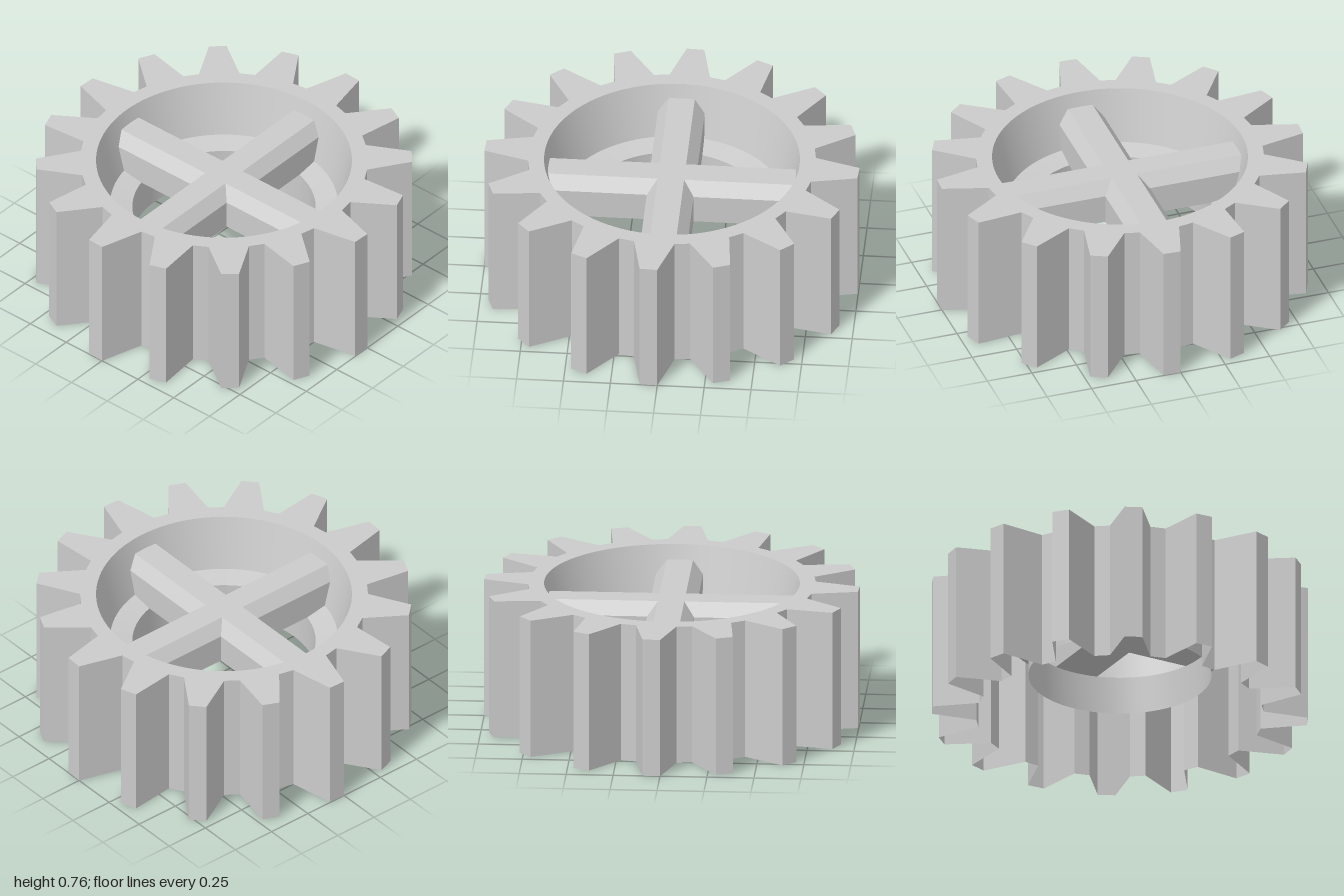
import * as THREE from 'three';
import { toCreasedNormals } from 'three/addons/utils/BufferGeometryUtils.js';

const HEIGHT = 0.76, TEETH = 16, RIM = 0.68;
const STEP = (Math.PI * 2) / TEETH;
const rad = THREE.MathUtils.degToRad;

// Four corners per tooth: root, tip, tip, root
const CORNERS = [[-8.1, 0.765], [-2.7, 1], [2.7, 1], [8.1, 0.765]];

// Corner i of the gear outline as [x, z], counterclockwise seen from above
function outline(i) {
  const n = i % (TEETH * 4);
  const [deg, r] = CORNERS[n % 4];
  const a = Math.floor(n / 4) * STEP + rad(deg - 2.7);
  return [r * Math.sin(a), r * Math.cos(a)];
}

export function createModel() {
  const group = new THREE.Group();
  const material = new THREE.MeshStandardMaterial({ color: 0xcccccc, side: THREE.DoubleSide });
  const add = (name, geometry) => {
    const mesh = new THREE.Mesh(geometry, material);
    mesh.name = name;
    group.add(mesh);
    return mesh;
  };

  // Toothed outer wall: an open cylinder whose columns follow the outline
  const cylinder = new THREE.CylinderGeometry(1, 1, HEIGHT, TEETH * 4, 1, true);
  const wallPos = cylinder.attributes.position;
  const columns = TEETH * 4 + 1;
  for (let i = 0; i < wallPos.count; i++) {
    const [x, z] = outline(i % columns);
    wallPos.setXYZ(i, x, wallPos.getY(i) + HEIGHT / 2, z);
  }
  const wall = cylinder.toNonIndexed();
  wall.computeVertexNormals();
  add('toothedWall', wall);

  // Flat top face with its round opening; the underside stays open
  const face = new THREE.Shape();
  for (let i = 0; i < TEETH * 4; i++) {
    const [x, z] = outline(i);
    if (i === 0) face.moveTo(x, -z);
    else face.lineTo(x, -z);
  }
  face.closePath();
  face.holes.push(new THREE.Path().absarc(0, 0, RIM, 0, Math.PI * 2, true));
  const top = new THREE.ShapeGeometry(face, 48);
  top.rotateX(-Math.PI / 2);
  top.translate(0, HEIGHT, 0);
  add('topFace', top);

  // Thin bowl: tapered wall, shelf and lower sleeve
  const bowl = [[RIM, HEIGHT], [0.605, 0.47], [0.487, 0.45], [0.487, 0.24]]
    .map(([r, y]) => new THREE.Vector2(r, y));
  add('innerBowl', toCreasedNormals(new THREE.LatheGeometry(bowl, 96), rad(30)));

  // Crossed spokes: chamfered bars whose ends lean inward going down
  const section = new THREE.Shape([
    [-0.125, 0.45], [0.125, 0.45], [0.125, 0.61], [0.07, 0.68], [-0.07, 0.68], [-0.125, 0.61],
  ].map(([x, y]) => new THREE.Vector2(x, y)));
  for (let k = 0; k < 2; k++) {
    const bar = new THREE.ExtrudeGeometry(section, { depth: 2, bevelEnabled: false });
    const pos = bar.attributes.position;
    for (let i = 0; i < pos.count; i++) {
      const y = pos.getY(i);
      const reach = y > 0.65 ? 0.66 : y > 0.55 ? 0.64 : 0.625;
      pos.setZ(i, (pos.getZ(i) - 1) * reach);
    }
    bar.computeVertexNormals();
    add(k ? 'spokeBarAcross' : 'spokeBarLengthwise', bar).rotation.y = (k * Math.PI) / 2;
  }
  return group;
}
